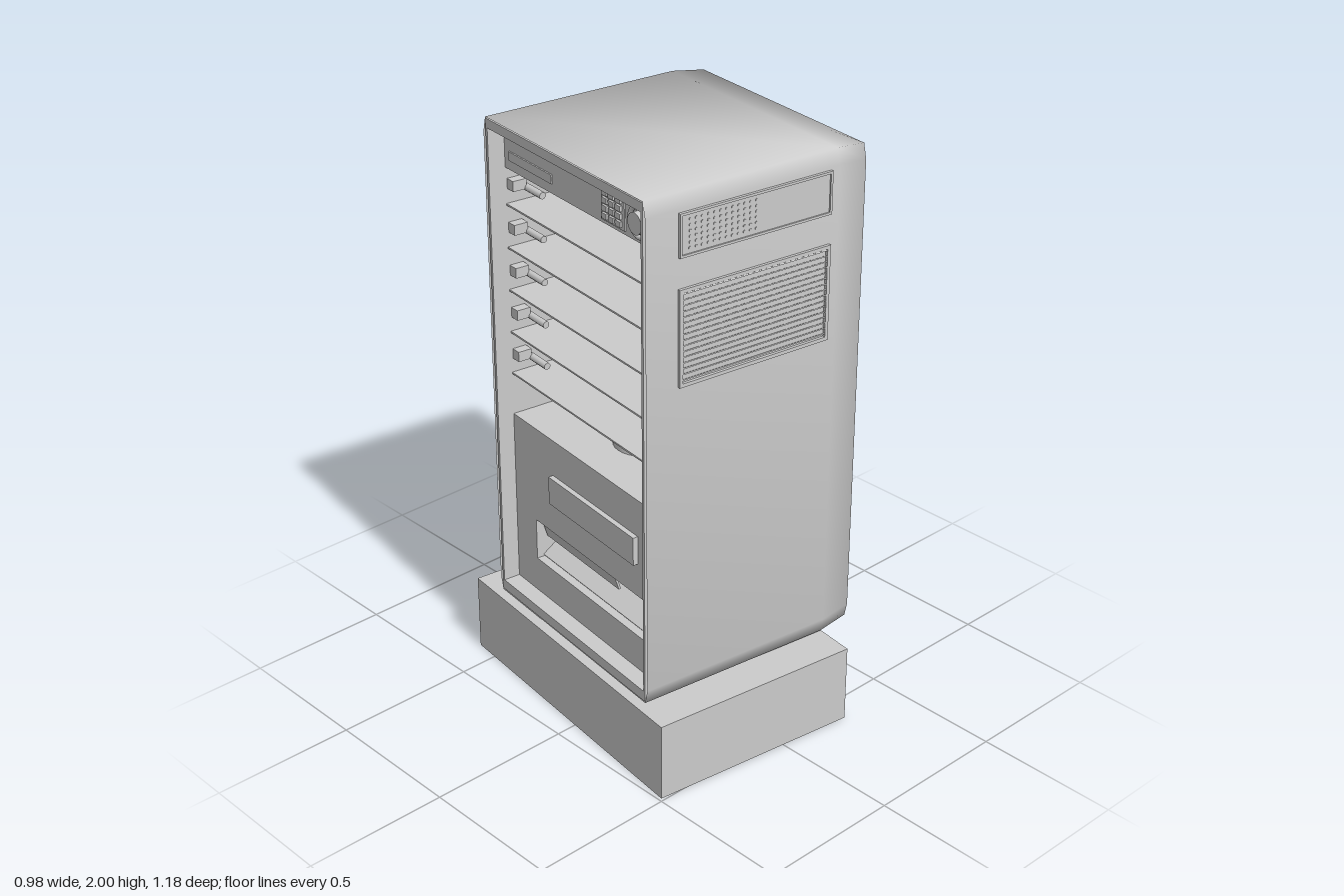
import * as THREE from 'three';
import { toCreasedNormals } from 'three/addons/utils/BufferGeometryUtils.js';

const mat = new THREE.MeshStandardMaterial({ color: 0xcccccc });
const thin = new THREE.MeshStandardMaterial({ color: 0xcccccc, side: THREE.DoubleSide });
const W = 0.415, D = 0.432, Y0 = 0.285, Y1 = 2; // cabinet half width, half depth, bottom, top
const FACE = -0.355; // plane of the recessed inner panels

function add(parent, name, geo, x = 0, y = 0, z = 0, material = mat) {
  const mesh = new THREE.Mesh(geo, material);
  mesh.name = name;
  mesh.position.set(x, y, z);
  parent.add(mesh);
  return mesh;
}

function box(parent, name, w, h, d, x, y, z, material) {
  return add(parent, name, new THREE.BoxGeometry(w, h, d), x, y, z, material);
}

// Rectangle outline from two corners
function rect(x0, y0, x1, y1, Type = THREE.Shape) {
  const p = new Type();
  p.moveTo(x0, y0); p.lineTo(x1, y0); p.lineTo(x1, y1); p.lineTo(x0, y1); p.closePath();
  return p;
}

function plateWithHole(outer, inner, depth) {
  const shape = rect(...outer);
  shape.holes.push(rect(...inner, THREE.Path));
  return new THREE.ExtrudeGeometry(shape, { depth, bevelEnabled: false });
}

// Chamfered rectangle cross-section in the plane of the given x
function ring(x, hz, y0, y1, cz, cy) {
  return [[-hz + cz, y0], [hz - cz, y0], [hz, y0 + cy], [hz, y1 - cy],
    [hz - cz, y1], [-hz + cz, y1], [-hz, y1 - cy], [-hz, y0 + cy]].map(([z, y]) => [x, y, z]);
}

// Skin over the rings, closed at the last one
function loft(rings) {
  const n = rings[0].length, index = [];
  const pos = rings.flat(2);
  rings.slice(1).forEach((_, i) => {
    for (let j = 0; j < n; j++) {
      const a = i * n + j, b = i * n + (j + 1) % n;
      index.push(a, a + n, b, b, a + n, b + n);
    }
  });
  const last = (rings.length - 1) * n;
  for (let j = 1; j < n - 1; j++) index.push(last, last + j + 1, last + j);
  const g = new THREE.BufferGeometry();
  g.setAttribute('position', new THREE.Float32BufferAttribute(pos, 3));
  g.setIndex(index);
  return toCreasedNormals(g, 1.5);
}

// Control panel and louvred vent on one flank, facing +z of the returned group
function flank(side) {
  const g = new THREE.Group();
  g.name = side > 0 ? 'leftFlankFittings' : 'rightFlankFittings';
  const cx = -0.015 * side, hw = 0.283;
  const frame = (name, y0, y1, t) => add(g, name,
    plateWithHole([cx - hw, y0, cx + hw, y1], [cx - hw + t, y0 + t, cx + hw - t, y1 - t], 0.014), 0, 0, -0.004);
  frame('panelFrame', 1.8, 1.94, 0.008);
  box(g, 'panelPlate', 0.55, 0.125, 0.01, cx, 1.87, 0);
  frame('ventFrame', 1.38, 1.7, 0.012);
  for (let i = 0; i < 16; i++) {
    const slat = box(g, 'ventSlat', 0.542, 0.004, 0.016, cx, 1.4 + i * 0.0187, 0.001);
    slat.rotation.x = -0.5;
  }
  // Speaker holes
  if (side > 0) {
    for (let i = 0; i < 12; i++) for (let j = 0; j < 6; j++) {
      const dot = add(g, 'speakerHole', new THREE.CylinderGeometry(0.005, 0.005, 0.003, 6),
        -0.26 + i * 0.022, 1.825 + j * 0.018, 0.006);
      dot.rotation.x = Math.PI / 2;
    }
  }
  g.position.z = side * D;
  g.rotation.y = side > 0 ? 0 : Math.PI;
  return g;
}

// Everything seen through the open face, which looks toward -x
function interior() {
  const g = new THREE.Group();
  g.name = 'interior';
  const facing = (mesh) => { mesh.rotation.y = -Math.PI / 2; return mesh; };

  // Lining and rim
  const hz = 0.41, lo = 0.325, hi = 1.965, back = 0.22;
  facing(add(g, 'openingRim', plateWithHole([-D + 0.012, Y0 + 0.004, D - 0.012, Y1 - 0.004],
    [-hz, lo, hz, hi], 0.02), -W + 0.02, 0, 0));
  const mid = (lo + hi) / 2, len = back + W, cx = (back - W) / 2;
  for (const s of [-1, 1]) {
    box(g, 'liningSide', len, hi - lo, 0.01, cx, mid, s * (hz + 0.005));
    box(g, 'liningEnd', len, 0.01, hz * 2, cx, mid + s * ((hi - lo) / 2 + 0.005), 0);
  }
  box(g, 'liningBack', 0.01, hi - lo, hz * 2, back, mid, 0);

  // Header with keypad and dial
  box(g, 'header', 0.08, 0.14, hz * 2, FACE + 0.04, 1.892, 0);
  box(g, 'headerStrip', 0.01, 0.03, 0.24, FACE, 1.87, -0.26);
  box(g, 'keypadPlate', 0.01, 0.11, 0.12, FACE, 1.89, 0.19);
  for (let i = 0; i < 3; i++) for (let j = 0; j < 4; j++)
    box(g, 'key', 0.012, 0.018, 0.026, FACE - 0.007, 1.853 + j * 0.025, 0.155 + i * 0.035);
  const dial = add(g, 'dial', new THREE.CylinderGeometry(0.035, 0.035, 0.025, 24), FACE - 0.01, 1.89, 0.325);
  dial.rotation.z = Math.PI / 2;
  facing(add(g, 'dialRing', new THREE.TorusGeometry(0.048, 0.008, 8, 28), FACE - 0.004, 1.89, 0.325));

  // Shelves with wall brackets
  for (let i = 0; i < 5; i++) {
    const y = 1.1 + i * 0.149;
    box(g, 'shelf', back - FACE, 0.006, hz * 2, (back + FACE) / 2, y, 0);
    for (const s of [-1, 1]) {
      box(g, 'shelfBracket', 0.05, 0.035, 0.035, FACE + 0.03, y + 0.07, s * 0.392);
      const pin = add(g, 'bracketPin', new THREE.CylinderGeometry(0.012, 0.012, 0.12, 10), FACE + 0.06, y + 0.055, s * 0.35);
      pin.rotation.x = Math.PI / 2;
    }
  }

  // Dispensing unit with pick-up tray
  const top = 0.95;
  facing(add(g, 'dispenserFront', plateWithHole([-hz, lo, hz, top], [-0.29, 0.45, 0.34, 0.6], 0.03), FACE + 0.03, 0, 0));
  box(g, 'dispenserTop', back - FACE, 0.015, hz * 2, (back + FACE) / 2, top - 0.008, 0);
  box(g, 'labelPlate', 0.02, 0.1, 0.48, FACE - 0.008, 0.77, 0.06);
  const ramp = box(g, 'trayRamp', 0.25, 0.006, 0.63, FACE + 0.13, 0.525, 0.025, thin);
  ramp.rotation.z = 0.6;
  for (const s of [-1, 1]) box(g, 'trayCheek', 0.2, 0.15, 0.008, FACE + 0.12, 0.525, 0.025 + s * 0.319);
  box(g, 'trayCeiling', 0.2, 0.008, 0.63, FACE + 0.12, 0.604, 0.025);
  const flap = box(g, 'trayFlap', 0.008, 0.07, 0.42, FACE + 0.03, 0.565, -0.07);
  flap.rotation.z = 0.3;
  add(g, 'motorHousing', new THREE.CylinderGeometry(0.1, 0.1, 0.08, 28), -0.12, top + 0.04, 0);
  return g;
}

export function createModel() {
  const model = new THREE.Group();
  model.name = 'vendingMachine';
  const turn = -0.129;

  // Plinth
  const base = box(model, 'base', 0.756, 0.275, 1.089, -0.045, 0.1375, -0.002);
  base.rotation.y = turn;

  // Cabinet shell, tapering slightly at the closed end
  const cabinet = new THREE.Group();
  cabinet.name = 'cabinet';
  cabinet.position.set(0.02, 0, 0.004);
  cabinet.rotation.y = turn;
  model.add(cabinet);
  add(cabinet, 'shell', loft([
    ring(-W, D, Y0, Y1, 0.012, 0.05),
    ring(0.3, D, Y0, Y1, 0.012, 0.05),
    ring(W, D - 0.014, Y0 + 0.012, Y1 - 0.015, 0.012, 0.05),
    ring(W + 0.001, D - 0.12, Y0 + 0.1, Y1 - 0.1, 0.012, 0.05),
  ]), 0, 0, 0, thin);
  box(cabinet, 'footPlate', 0.6, 0.015, 0.7, 0, 0.28, 0);
  cabinet.add(flank(1), flank(-1), interior());
  return model;
}
